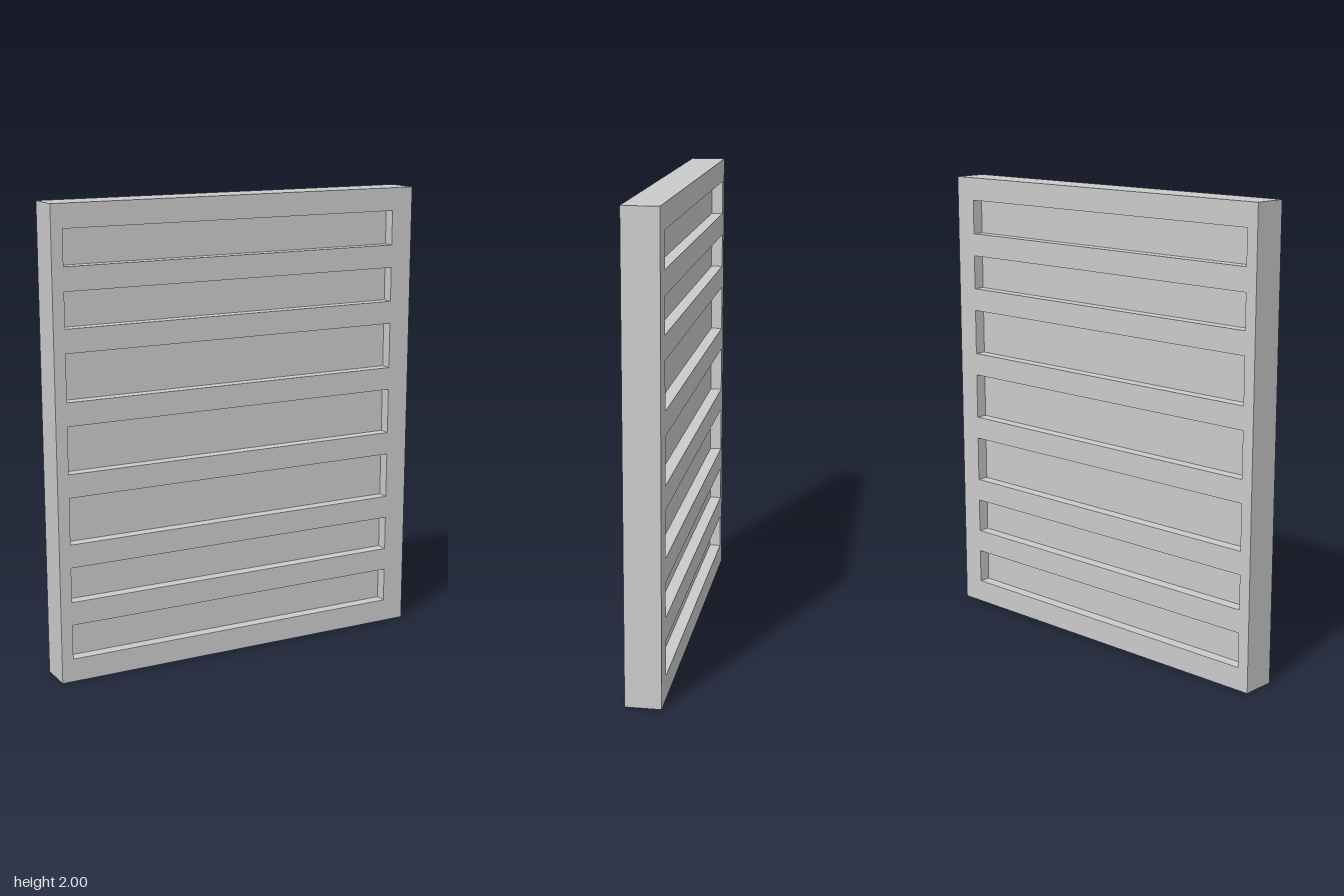
import * as THREE from 'three';

const WIDTH = 1.7, HEIGHT = 2, DEPTH = 0.15;
const PANEL_DEPTH = 0.05;
const LEFT = -0.8, RIGHT = 0.75; // the slots sit slightly off centre
const SLOTS = [[0.1, 0.25], [0.35, 0.5], [0.6, 0.8], [0.9, 1.1], [1.2, 1.4], [1.5, 1.65], [1.75, 1.9]];

// Rectangular outline from two opposite corners
function rectangle(PathType, x0, y0, x1, y1) {
  return new PathType([[x0, y0], [x1, y0], [x1, y1], [x0, y1]].map(([x, y]) => new THREE.Vector2(x, y)));
}

export function createModel() {
  const group = new THREE.Group();
  group.name = 'slottedPanel';
  const material = new THREE.MeshStandardMaterial({ color: 0xcccccc, flatShading: true });

  // Frame with a row of slots cut through it
  const outline = rectangle(THREE.Shape, -WIDTH / 2, 0, WIDTH / 2, HEIGHT);
  for (const [bottom, top] of SLOTS) outline.holes.push(rectangle(THREE.Path, LEFT, bottom, RIGHT, top));
  const frameGeometry = new THREE.ExtrudeGeometry(outline, { depth: DEPTH, bevelEnabled: false });
  frameGeometry.translate(0, 0, -DEPTH / 2);
  const frame = new THREE.Mesh(frameGeometry, material);
  frame.name = 'frame';
  group.add(frame);

  // Thin panel closing each slot, recessed on both front and back
  SLOTS.forEach(([bottom, top], i) => {
    const panel = new THREE.Mesh(new THREE.BoxGeometry(RIGHT - LEFT, top - bottom, PANEL_DEPTH), material);
    panel.position.set((LEFT + RIGHT) / 2, (bottom + top) / 2, 0);
    panel.name = `recessedPanel${i + 1}`;
    group.add(panel);
  });

  return group;
}
